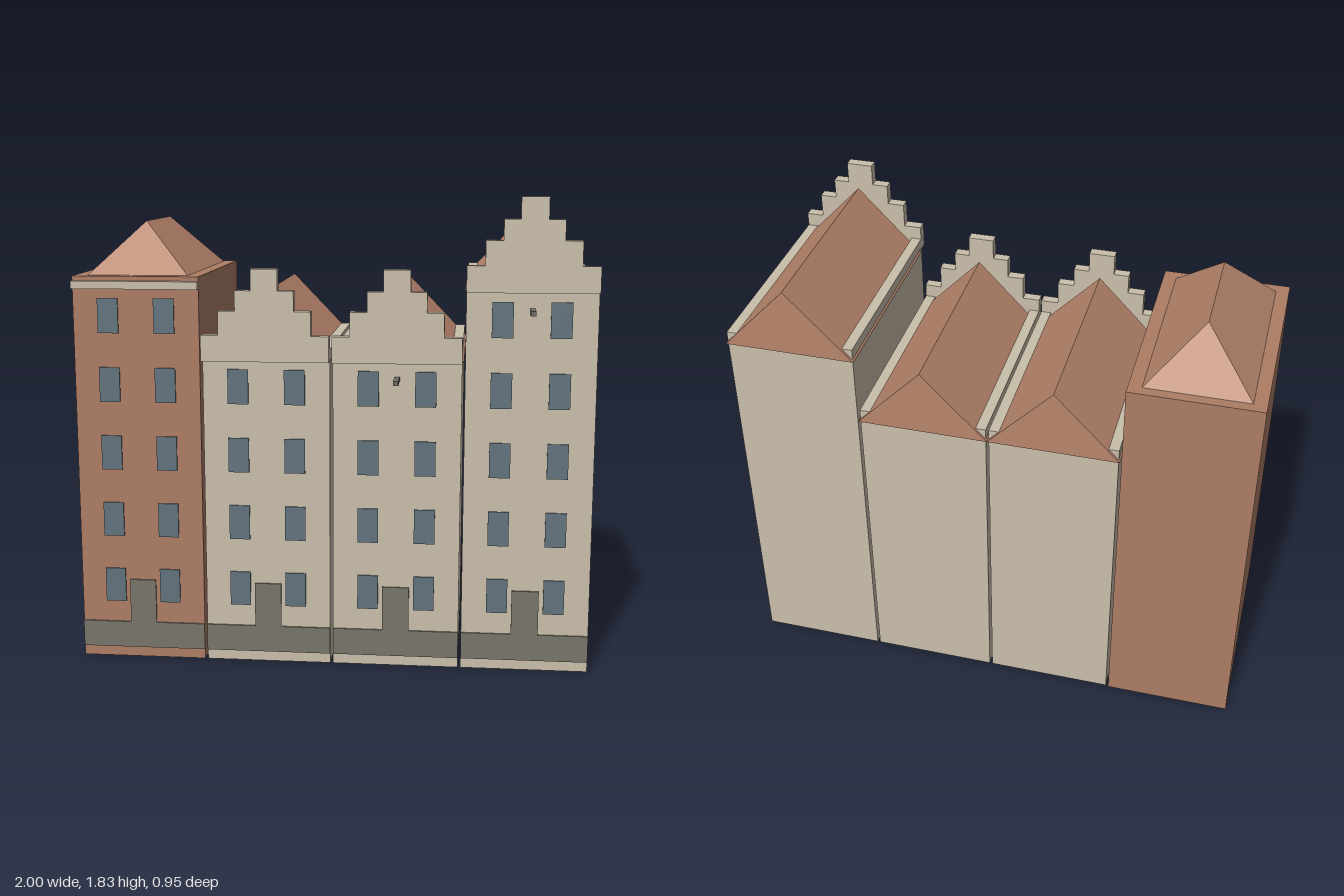
import * as THREE from 'three';

const mat = (name, color) => new THREE.MeshStandardMaterial({ name, color });

export function createModel() {
  const plaster = mat('beige plaster', 0xcabfab);
  const brick = mat('red brick', 0xad7d65);
  const tile = mat('roof tile', 0xb9866d);
  const glass = mat('blue grey glass', 0x62747e);
  const stone = mat('grey stone', 0x77756a);
  const timber = mat('dark timber', 0x6f6c67);

  const FRONT = 0.37, BACK = -0.465, HALF = 0.245;
  const model = new THREE.Group();
  model.name = 'townhouseRow';

  // box given by its limits on each axis
  const box = (parent, name, m, x0, x1, y0, y1, z0, z1) => {
    const mesh = new THREE.Mesh(new THREE.BoxGeometry(x1 - x0, y1 - y0, z1 - z0), m);
    mesh.position.set((x0 + x1) / 2, (y0 + y1) / 2, (z0 + z1) / 2);
    mesh.name = name;
    parent.add(mesh);
  };

  // triangular prism along z
  const gableRoof = (parent, y, half, height, z0, z1) => {
    const s = new THREE.Shape([
      new THREE.Vector2(-half, 0), new THREE.Vector2(half, 0), new THREE.Vector2(0, height)]);
    const mesh = new THREE.Mesh(
      new THREE.ExtrudeGeometry(s, { depth: z1 - z0, bevelEnabled: false }), tile);
    mesh.position.set(0, y, z0);
    mesh.name = 'gableRoof';
    parent.add(mesh);
  };

  // hipped roof: rectangle rising to a ridge along z
  const hipRoof = (parent, y, half, height, z0, z1, r0, r1) => {
    const a = [-half, 0, z1], b = [half, 0, z1], c = [half, 0, z0], d = [-half, 0, z0];
    const f = [0, height, r1], k = [0, height, r0];
    const tris = [a, b, f, b, c, k, b, k, f, c, d, k, d, a, f, d, f, k, a, d, c, a, c, b];
    const g = new THREE.BufferGeometry();
    g.setAttribute('position', new THREE.Float32BufferAttribute(tris.flat(), 3));
    g.computeVertexNormals();
    const mesh = new THREE.Mesh(g, tile);
    mesh.position.y = y;
    mesh.name = 'hipRoof';
    parent.add(mesh);
  };

  // crow-stepped gable as one extruded outline
  const steps = [[0.245, 0.1], [0.177, 0.193], [0.112, 0.27], [0.051, 0.352]];
  const stepGable = (parent, y) => {
    const right = [];
    let low = 0;
    for (const [w, h] of steps) {
      right.push([w, low], [w, h]);
      low = h;
    }
    const left = right.map(([x, h]) => [-x, h]).reverse();
    const s = new THREE.Shape([...right, ...left].map(([x, h]) => new THREE.Vector2(x, h)));
    const mesh = new THREE.Mesh(
      new THREE.ExtrudeGeometry(s, { depth: 0.04, bevelEnabled: false }), plaster);
    mesh.position.set(0, y, FRONT - 0.002);
    mesh.name = 'steppedGable';
    parent.add(mesh);
  };

  const houses = [
    { wall: brick, top: 1.52, floors: 5, hip: true },
    { wall: plaster, top: 1.203, floors: 4 },
    { wall: plaster, top: 1.203, floors: 4, beam: 1.14 },
    { wall: plaster, top: 1.473, floors: 5, beam: 1.405 },
  ];

  houses.forEach(({ wall, top, floors, hip, beam }, i) => {
    const house = new THREE.Group();
    house.name = 'house' + (i + 1);
    house.position.x = -0.755 + i * 0.501;
    model.add(house);

    box(house, 'walls', wall, -HALF, HALF, 0, top, hip ? -0.47 : BACK, FRONT);

    // plinth band and door
    box(house, 'plinthBand', stone, -HALF, HALF, 0.04, 0.145, FRONT, FRONT + 0.007);
    box(house, 'door', stone, -0.052, 0.052, 0.145, 0.32, FRONT, FRONT + 0.007);

    // two windows on each floor
    for (let n = 0; n < floors; n++) {
      const y = 0.23 + n * 0.268;
      for (const x of [-0.109, 0.109])
        box(house, 'window', glass, x - 0.04, x + 0.04, y, y + 0.135, FRONT, FRONT + 0.006);
    }

    if (hip) {
      box(house, 'cornice', plaster, -HALF, HALF, 1.473, 1.503, FRONT, 0.395);
      hipRoof(house, top, 0.195, 0.2, -0.43, 0.323, -0.262, 0.155);
    } else {
      gableRoof(house, top, 0.251, 0.262, -0.475, 0.34);
      stepGable(house, top);
      // parapets along both eaves
      for (const s of [-1, 1]) {
        const x0 = s < 0 ? -HALF : HALF - 0.04;
        box(house, 'sideParapet', plaster, x0, x0 + 0.04, top + 0.007, top + 0.047, BACK, FRONT);
      }
    }
    // hoisting beam
    if (beam) box(house, 'hoistBeam', timber, -0.01, 0.01, beam - 0.009, beam + 0.009, FRONT, 0.475);
  });

  return model;
}
